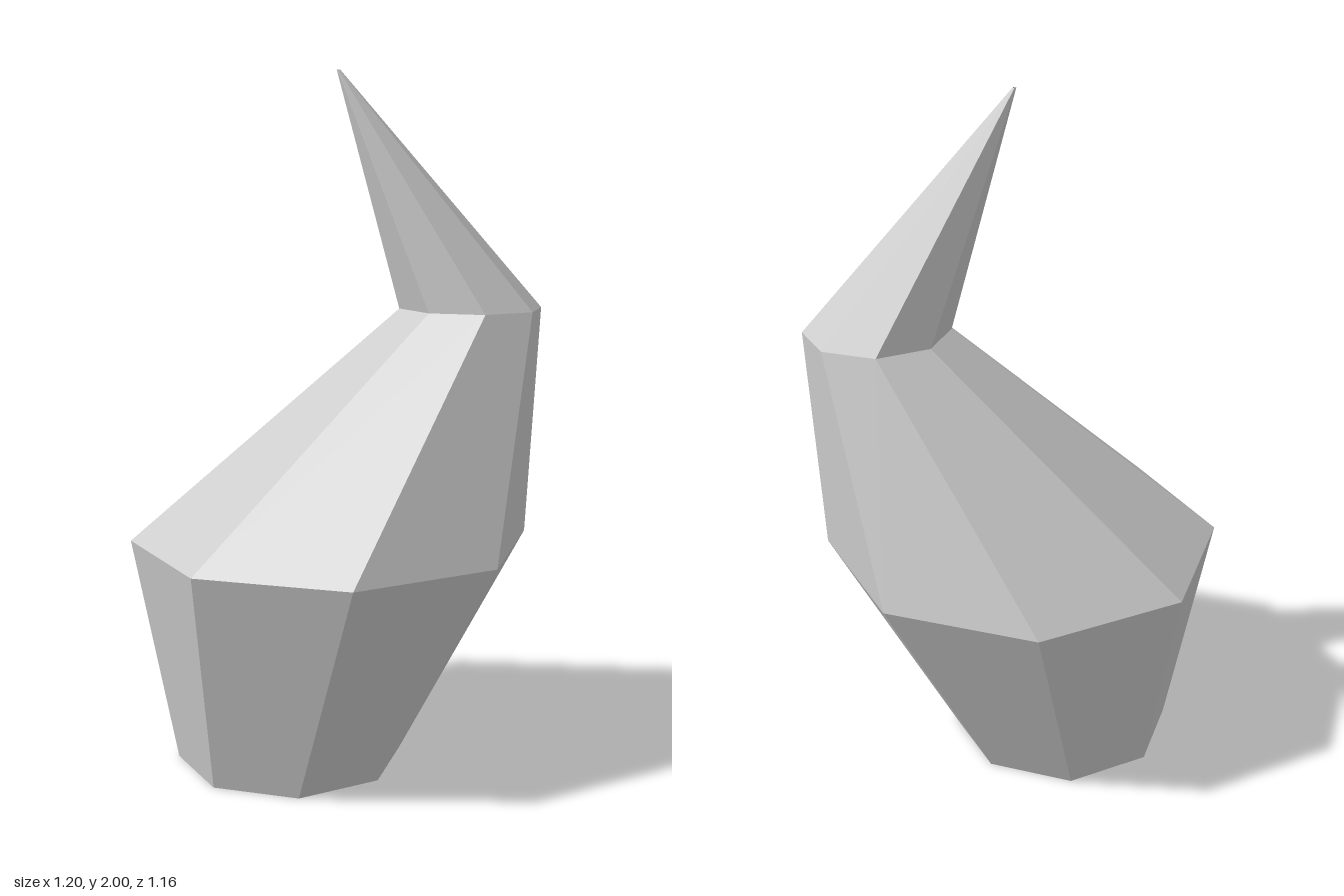
import * as THREE from 'three';

export function createModel() {
  const grey = new THREE.MeshStandardMaterial({ color: 0xcccccc, flatShading: true, side: THREE.DoubleSide });
  grey.name = 'grey';

  // Octagonal rings from the tip down: height, sideways offset, radius
  const rings = [
    { y: 2, x: 0.006, r: 0.005 },
    { y: 1.333, x: 0.39, r: 0.208 },
    { y: 0.667, x: -0.018, r: 0.581 },
    { y: 0, x: -0.14, r: 0.332 },
  ];
  const sides = 8;

  // Unit tube, open at the base, with each row moved onto its ring
  const geometry = new THREE.CylinderGeometry(1, 1, 2, sides, rings.length - 1, true);
  const pos = geometry.attributes.position;
  for (let i = 0; i < pos.count; i++) {
    const { x, y, r } = rings[Math.floor(i / (sides + 1))];
    pos.setXYZ(i, x + pos.getX(i) * r, y, pos.getZ(i) * r);
  }
  geometry.computeVertexNormals();

  const horn = new THREE.Mesh(geometry, grey);
  horn.name = 'bentHorn';

  const group = new THREE.Group();
  group.name = 'horn';
  group.add(horn);
  return group;
}
